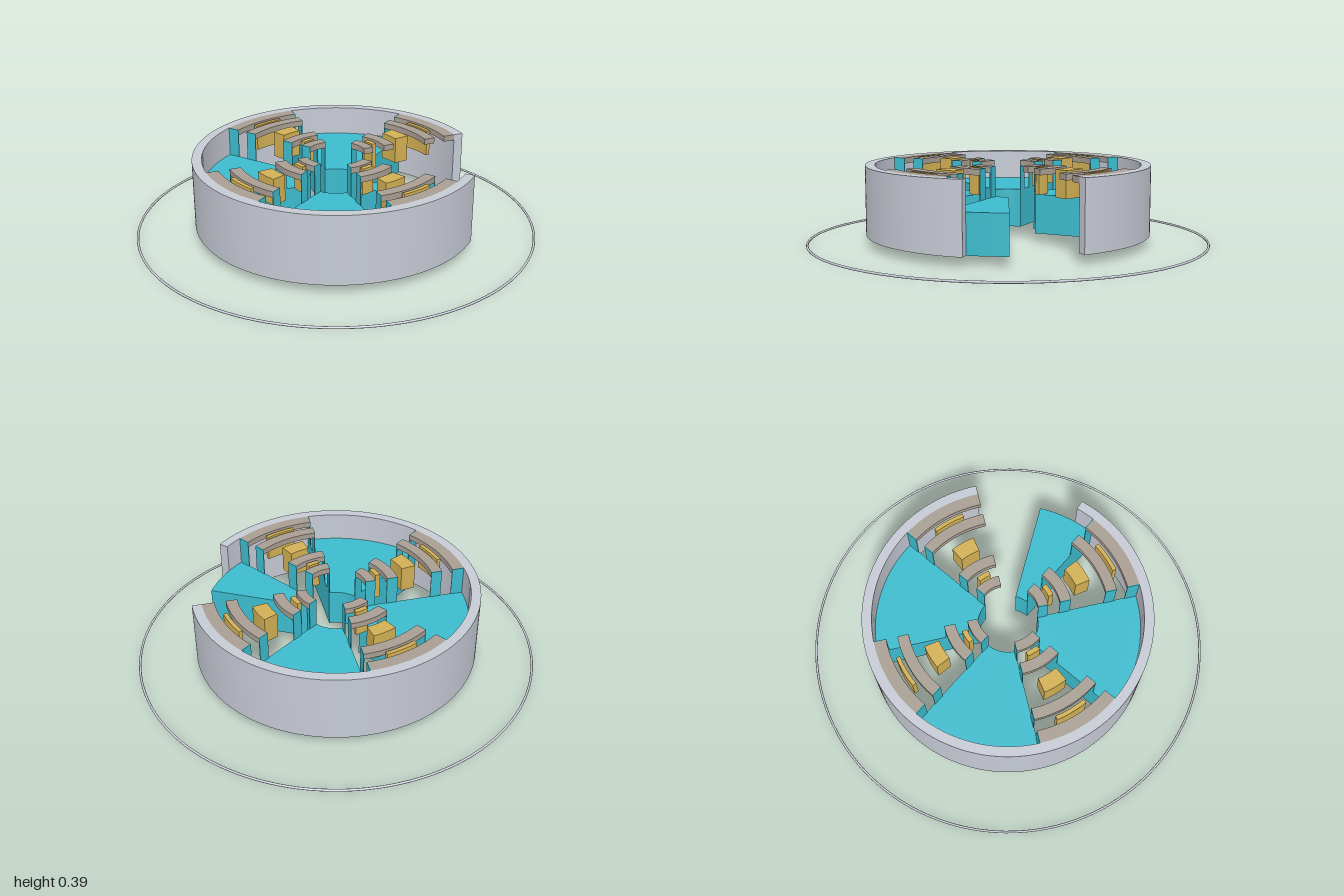
import * as THREE from 'three';
import { toCreasedNormals } from 'three/addons/utils/BufferGeometryUtils.js';

const mat = (name, color) => {
  const m = new THREE.MeshStandardMaterial({ color });
  m.name = name;
  return m;
};
const rad = THREE.MathUtils.degToRad;

// Ring sector between two radii, two angles (degrees, from +x towards -z) and two heights
function sector(name, material, r0, r1, a0, a1, y0, y1) {
  const s = new THREE.Shape();
  s.absarc(0, 0, r1, rad(a0), rad(a1), false);
  s.absarc(0, 0, r0, rad(a1), rad(a0), true);
  s.closePath();
  const extruded = new THREE.ExtrudeGeometry(s, {
    depth: y1 - y0,
    bevelEnabled: false,
    curveSegments: Math.max(6, Math.round((a1 - a0) / 3)),
  });
  extruded.rotateX(-Math.PI / 2).translate(0, y0, 0);
  const mesh = new THREE.Mesh(toCreasedNormals(extruded, rad(30)), material);
  mesh.name = name;
  return mesh;
}

export function createModel() {
  const silver = mat('silver', 0xc6cad4);
  const teal = mat('teal', 0x3cbbcd);
  const taupe = mat('taupe', 0xa89e93);
  const gold = mat('gold', 0xd2b054);

  const model = new THREE.Group();
  model.name = 'cutawayDrum';

  const bottom = 0.045, deck = 0.24, top = 0.39;
  const bands = [[0.15, 0.2], [0.26, 0.315], [0.49, 0.545], [0.6, 0.66]];
  const blocks = [[0.215, 0.24], [0.36, 0.435], [0.56, 0.58]];

  // Thin hoop around the base
  const hoop = new THREE.Mesh(new THREE.TorusGeometry(0.994, 0.006, 8, 128), silver);
  hoop.name = 'baseHoop';
  hoop.rotation.x = Math.PI / 2;
  hoop.position.y = 0.006;
  model.add(hoop);

  // Outer wall, open over one eighth of the circle
  model.add(sector('outerWall', silver, 0.66, 0.708, 0, 315, bottom, top));

  for (let i = 0; i < 4; i++) {
    const start = i * 90, end = start + 36;

    // Solid wedge; the last one is cut short at the opening
    model.add(sector('wedge', teal, 0.15, 0.66, end, i === 3 ? 332 : start + 90, bottom, deck));

    // Curved bands and blocks standing in the open quarter beside it
    const module = new THREE.Group();
    module.name = 'bandModule';
    for (const [r0, r1] of bands) {
      module.add(sector('band', taupe, r0, r1, start, end, 0.36, top));

      // Upright end plates above the neighbouring wedges
      for (const [angle, side] of [[start, -1], [end, 1]]) {
        if (angle === 0) continue;
        const plate = new THREE.Mesh(new THREE.BoxGeometry(r1 - r0, top - deck, 0.004), teal);
        plate.name = 'endPlate';
        plate.position.set((r0 + r1) / 2, (top + deck) / 2, -side * 0.002);
        const pivot = new THREE.Group();
        pivot.name = 'endPlatePivot';
        pivot.rotation.y = rad(angle);
        pivot.add(plate);
        module.add(pivot);
      }
    }
    for (const [r0, r1] of blocks) {
      module.add(sector('block', gold, r0, r1, start + 10, start + 26, 0.255, top));
    }
    model.add(module);
  }
  return model;
}
